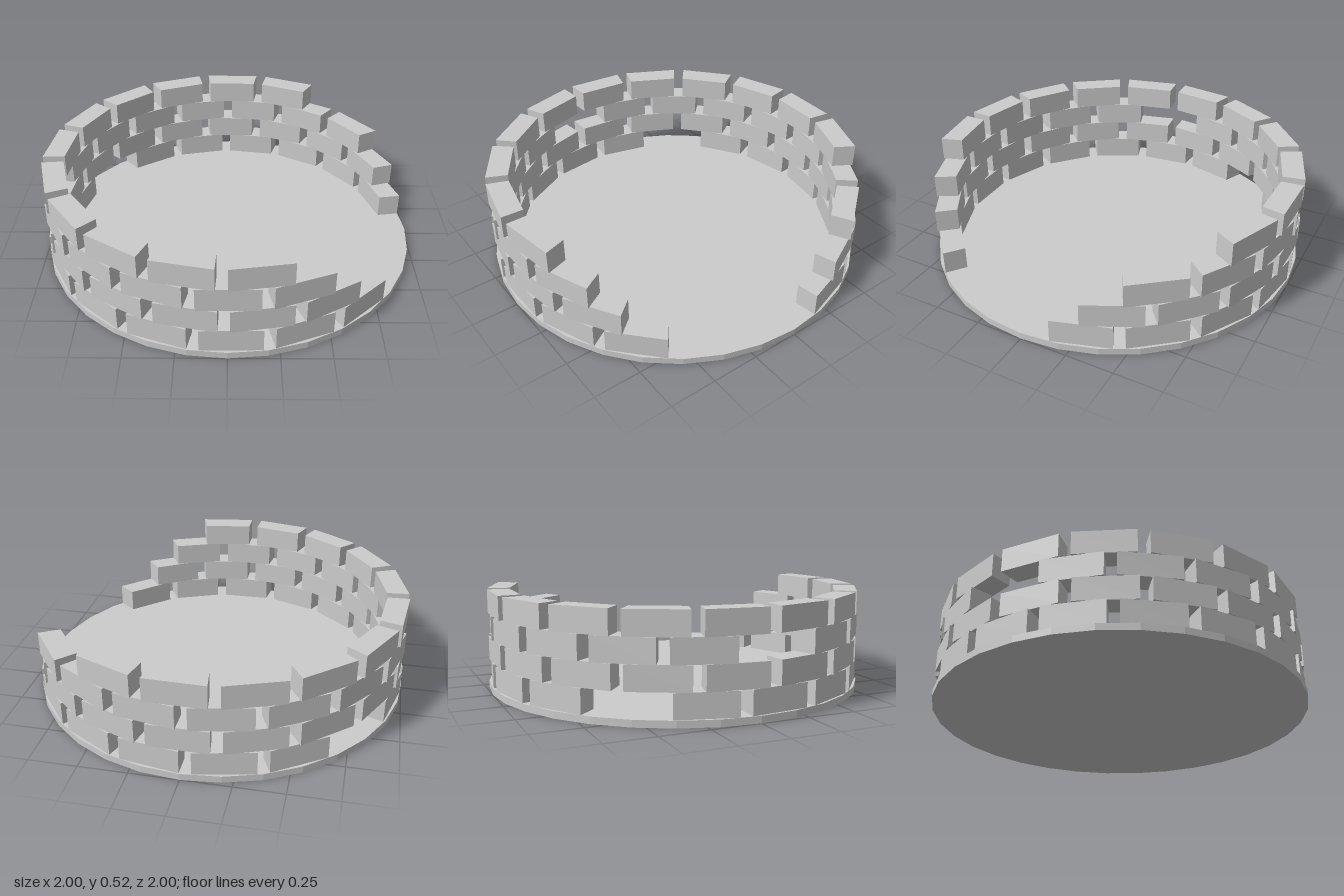
import * as THREE from 'three';

const material = new THREE.MeshStandardMaterial({ color: 0xcccccc, flatShading: true });
const rad = THREE.MathUtils.degToRad;

const BASE_HEIGHT = 0.035;
const ROW_HEIGHT = 0.1225;
const OUTER = 0.995;
const INNER = 0.878;
const STEP = 21.12;   // degrees from brick to brick
const SPAN = 17.7;    // degrees covered by one brick

// Wedge brick with straight faces, starting at angle 0 (+z) and turning towards +x
function brickGeometry() {
  const point = (r, deg) => new THREE.Vector2(r * Math.sin(rad(deg)), -r * Math.cos(rad(deg)));
  const shape = new THREE.Shape([
    point(INNER, 0), point(OUTER, 0), point(OUTER, SPAN), point(INNER, SPAN),
  ]);
  const geometry = new THREE.ExtrudeGeometry(shape, { depth: ROW_HEIGHT, bevelEnabled: false });
  return geometry.rotateX(-Math.PI / 2);
}

// Rows from the bottom up: start angle of the first brick, brick count, missing brick
const rows = [
  { start: 34.4, count: 15, missing: 8 },
  { start: 21.8, count: 14, missing: -1 },
  { start: 12.5, count: 13, missing: 5 },
  { start: 0.2, count: 11, missing: -1 },
];

export function createModel() {
  const model = new THREE.Group();
  model.name = 'ruinedRoundWall';

  // Floor disc
  const floor = new THREE.Mesh(new THREE.CylinderGeometry(1, 1, BASE_HEIGHT, 32), material);
  floor.name = 'floorDisc';
  floor.position.y = BASE_HEIGHT / 2;
  model.add(floor);

  // Staggered brick rows, stepping back on both sides of the opening
  const geometry = brickGeometry();
  rows.forEach(({ start, count, missing }, level) => {
    const row = new THREE.Group();
    row.name = `brickRow${level + 1}`;
    row.position.y = BASE_HEIGHT + level * ROW_HEIGHT;
    for (let i = 0; i < count; i++) {
      if (i === missing) continue;
      const brick = new THREE.Mesh(geometry, material);
      brick.name = 'brick';
      brick.rotation.y = rad(start - i * STEP);
      row.add(brick);
    }
    model.add(row);
  });

  return model;
}
